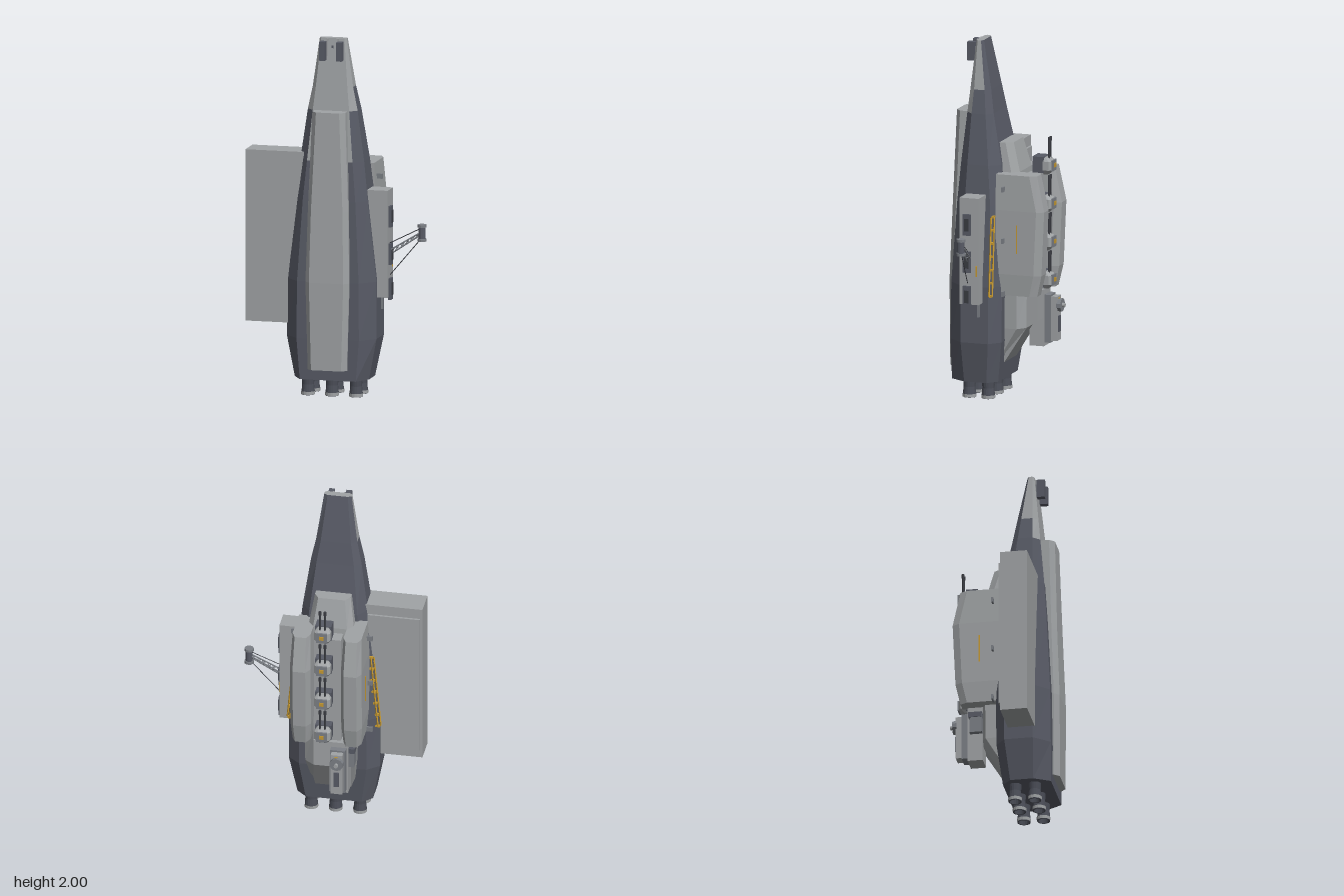
import * as THREE from 'three';

const mat = (name, color, extra = {}) => {
  const m = new THREE.MeshStandardMaterial({ color, flatShading: true, ...extra });
  m.name = name;
  return m;
};
const CX = -0.015; // centre line of the hull

export function createModel() {
  const root = new THREE.Group();
  root.name = 'spaceship';
  const dark = mat('hullSlate', 0x585b66);
  const light = mat('panelGrey', 0xa0a3a5);
  const mid = mat('fittingGrey', 0x7c8086);
  const black = mat('barrelCharcoal', 0x3b3d43);
  const yellow = mat('markingYellow', 0xc79a32);
  const hollow = mat('nozzleSlate', 0x4c4f59, { side: THREE.DoubleSide });

  const add = (name, geo, material, parent = root) => {
    const m = new THREE.Mesh(geo, material);
    m.name = name;
    parent.add(m);
    return m;
  };
  const box = (name, material, x0, x1, y0, y1, z0, z1, parent = root) => {
    const m = add(name, new THREE.BoxGeometry(x1 - x0, y1 - y0, z1 - z0), material, parent);
    m.position.set((x0 + x1) / 2, (y0 + y1) / 2, (z0 + z1) / 2);
    return m;
  };
  const beam = (name, material, a, b, r, sides = 6, parent = root) => {
    const p = new THREE.Vector3(...a), q = new THREE.Vector3(...b);
    const m = add(name, new THREE.CylinderGeometry(r, r, p.distanceTo(q), sides), material, parent);
    m.position.copy(p).add(q).multiplyScalar(0.5);
    m.quaternion.setFromUnitVectors(new THREE.Vector3(0, 1, 0), q.sub(p).normalize());
    return m;
  };
  // Skin rings of [x, z] points stacked along y; pick(face, y) gives a material index
  const loft = (levels, pick = () => 0) => {
    const buckets = [[], []];
    const pt = (k, i) => {
      const ring = levels[k].ring, c = ring[i % ring.length];
      return [c[0], levels[k].y, c[1]];
    };
    const n = levels[0].ring.length, last = levels.length - 1;
    for (let k = 0; k < last; k++) {
      for (let i = 0; i < n; i++) {
        const a = pt(k, i), b = pt(k, i + 1), c = pt(k + 1, i + 1), d = pt(k + 1, i);
        buckets[pick(i, (levels[k].y + levels[k + 1].y) / 2)].push(...a, ...b, ...c, ...a, ...c, ...d);
      }
    }
    for (let i = 1; i < n - 1; i++) {
      buckets[0].push(...pt(0, 0), ...pt(0, i + 1), ...pt(0, i));
      buckets[pick(0, levels[last].y)].push(...pt(last, 0), ...pt(last, i), ...pt(last, i + 1));
    }
    const geo = new THREE.BufferGeometry();
    geo.setAttribute('position', new THREE.Float32BufferAttribute(buckets.flat(), 3));
    geo.addGroup(0, buckets[0].length / 3, 0);
    geo.addGroup(buckets[0].length / 3, buckets[1].length / 3, 1);
    geo.computeVertexNormals();
    return geo;
  };

  // Eight-sided hull: y, side half-width, front half-width, z of front, front corner, back corner, back
  const hullRows = [
    [0.1, 0.212, 0.16, 0.27, 0.18, 0.05, 0.0],
    [0.33, 0.256, 0.178, 0.272, 0.185, 0.025, -0.03],
    [0.65, 0.256, 0.176, 0.268, 0.185, 0.022, -0.035],
    [1.1, 0.205, 0.15, 0.243, 0.18, 0.03, -0.03],
    [1.32, 0.182, 0.13, 0.227, 0.172, 0.05, -0.012],
    [1.6, 0.142, 0.104, 0.2, 0.162, 0.08, 0.045],
    [1.73, 0.115, 0.09, 0.187, 0.157, 0.095, 0.067],
    [2.0, 0.077, 0.066, 0.16, 0.15, 0.13, 0.12],
  ].map(([y, w, f, zf, s1, s2, zb]) => ({
    y,
    ring: [[-f, zf], [f, zf], [w, s1], [w, s2], [w * 0.74, zb], [-w * 0.74, zb], [-w, s2], [-w, s1]],
  }));
  // Pale nose cladding steps down the front, chamfer and side faces
  const claddingStart = [1.32, 1.6, 1.73, 9, 9, 9, 1.73, 1.6];
  add('hull', loft(hullRows, (i, y) => (y > claddingStart[i] ? 1 : 0)), [dark, light]).position.x = CX;

  // Raised front panel with bevelled edges
  const panelRows = [
    [0.16, 0.112, 0.086, 0.307, 0.26], [0.65, 0.125, 0.098, 0.307, 0.26],
    [1.05, 0.115, 0.09, 0.292, 0.235], [1.6, 0.094, 0.066, 0.275, 0.19],
  ].map(([y, o, f, z, b]) => ({
    y, ring: [[-f, z], [f, z], [o, z - 0.028], [o, b], [-o, b], [-o, z - 0.028]],
  }));
  add('frontPanel', loft(panelRows), light).position.x = CX;

  // Nose fittings
  for (const s of [-1, 1]) {
    const x = CX + s * 0.048;
    box('noseSensor', dark, x - 0.016, x + 0.016, 1.88, 1.985, 0.172, 0.216);
    box('noseSensorMount', mid, x - 0.008, x + 0.008, 1.91, 1.96, 0.15, 0.175);
    box('noseRib', light, CX + s * 0.03 - 0.004, CX + s * 0.03 + 0.004, 1.83, 1.998, 0.14, 0.17);
  }
  box('noseLight', dark, CX - 0.005, CX + 0.005, 1.945, 1.96, 0.15, 0.17);

  // Six hollow engine nozzles
  const nozzle = [[0.022, 0.08], [0.03, 0.0], [0.036, 0.0], [0.037, 0.02], [0.033, 0.06], [0.037, 0.11]];
  for (const x of [-0.137, 0, 0.137]) for (const z of [0.175, 0.065]) {
    const engine = new THREE.Group();
    engine.name = 'engine';
    engine.position.set(CX + x, 0, z);
    root.add(engine);
    add('nozzle', new THREE.LatheGeometry(nozzle.map(p => new THREE.Vector2(...p)), 16), hollow, engine);
    const rim = add('nozzleRim', new THREE.CylinderGeometry(0.039, 0.039, 0.018, 16, 1, true), light, engine);
    rim.position.y = 0.011;
    const throat = add('nozzleThroat', new THREE.CircleGeometry(0.024, 16), black, engine);
    throat.rotation.x = Math.PI / 2;
    throat.position.y = 0.075;
  }

  // Large slab on one side with a raised back plate
  box('sideSlab', light, -0.505, -0.17, 0.4, 1.36, 0.045, 0.195);
  box('sideSlabPlate', light, -0.492, -0.2, 0.45, 1.3, 0.032, 0.046);

  // Docking module with hatches on the other side
  box('dockModule', light, 0.17, 0.3, 0.56, 1.16, 0.057, 0.17);
  for (const y of [0.605, 0.8, 1.01]) {
    box('dockHatch', dark, 0.295, 0.313, y - 0.06, y + 0.06, 0.102, 0.147);
    box('dockHatchInset', black, 0.31, 0.317, y - 0.035, y + 0.035, 0.112, 0.137);
  }
  box('dockMarking', yellow, 0.298, 0.304, 0.72, 0.78, 0.066, 0.074);
  box('dockBracket', mid, 0.2, 0.25, 0.48, 0.57, 0.072, 0.085);

  // Lattice boom carrying a drum
  const boom = new THREE.Group();
  boom.name = 'boom';
  root.add(boom);
  const base = [[0.3, 0.82, 0.14], [0.3, 0.82, 0.105], [0.3, 0.795, 0.122]];
  const tip = [[0.465, 0.92, 0.107], [0.465, 0.92, 0.088], [0.465, 0.905, 0.097]];
  const lerp = (a, b, t) => a.map((v, i) => v + (b[i] - v) * t);
  base.forEach((a, i) => {
    beam('boomRail', mid, a, tip[i], 0.004, 5, boom);
    const j = (i + 1) % 3;
    for (let k = 0; k < 6; k++) {
      const [p, q] = k % 2 ? [i, j] : [j, i];
      beam('boomBrace', mid, lerp(base[p], tip[p], k / 6), lerp(base[q], tip[q], (k + 1) / 6), 0.0025, 4, boom);
    }
  });
  beam('boomStay', black, [0.3, 0.68, 0.122], [0.47, 0.885, 0.097], 0.0025, 4, boom);
  beam('boomStay', black, [0.3, 0.86, 0.122], [0.47, 0.945, 0.097], 0.0025, 4, boom);
  beam('boomDrum', dark, [0.477, 0.885, 0.096], [0.477, 0.96, 0.096], 0.02, 12, boom);
  for (const y of [0.873, 0.952]) beam('boomDrumCap', mid, [0.477, y, 0.096], [0.477, y + 0.015, 0.096], 0.026, 12, boom);

  // Central back housing with a wedge-shaped foot
  const housingRows = [
    [0.2, 0.12, 0.1, -0.015], [0.4, 0.14, 0.085, -0.14], [0.62, 0.145, 0.085, -0.142],
    [1.28, 0.125, 0.095, -0.105], [1.44, 0.1, 0.075, -0.062],
  ].map(([y, w, b, z]) => ({
    y, ring: [[-w, 0.03], [w, 0.03], [w, Math.min(0.02, z + 0.04)], [b, z], [-b, z], [-w, Math.min(0.02, z + 0.04)]],
  }));
  add('backHousing', loft(housingRows), light).position.x = CX;
  box('turretDeck', light, CX - 0.075, CX + 0.075, 0.56, 1.25, -0.18, -0.08);

  // Mirrored back pods, cleats and yellow rails
  const podRows = [[0.6, 0.05, 0.03, -0.235], [0.72, 0.058, 0.036, -0.262], [1.08, 0.058, 0.036, -0.278], [1.28, 0.05, 0.032, -0.235]]
    .map(([y, w, b, z]) => ({
      y, ring: [[-w, 0.0], [w, 0.0], [w, z + 0.04], [b, z], [-b, z], [-w, z + 0.04]],
    }));
  for (const s of [-1, 1]) {
    add('backPod', loft(podRows), light).position.x = CX + s * 0.143;
    const at = (name, m, x0, x1, y0, y1, z0, z1) =>
      box(name, m, CX + Math.min(s * x0, s * x1), CX + Math.max(s * x0, s * x1), y0, y1, z0, z1);
    at('podStripe', yellow, 0.198, 0.204, 0.84, 1.0, -0.128, -0.121);
    for (const y of [0.61, 0.91, 1.2]) at('podCleat', mid, 0.18, 0.228, y - 0.014, y + 0.014, -0.053, -0.043);
    for (const d of [0, 0.014]) {
      beam('sideRail', yellow, [CX + s * (0.262 - d), 0.6, 0.016 - d], [CX + s * (0.222 - d), 1.04, 0.018 - d], 0.005, 4);
    }
    for (let k = 0; k <= 6; k++) {
      const x = 0.255 - 0.04 * k / 6, y = 0.6 + 0.44 * k / 6;
      at('railPost', yellow, x - 0.035, x + 0.004, y - 0.006, y + 0.006, 0.003, 0.016);
    }
  }

  // Four twin-barrel turrets along the spine
  for (const y of [0.67, 0.885, 1.1, 1.315]) {
    const t = new THREE.Group();
    t.name = 'turret';
    t.position.set(0, y, 0);
    root.add(t);
    box('turretBase', dark, -0.045, 0.045, -0.04, 0.05, -0.23, -0.165, t);
    const body = [[-0.05, 0.03, -0.25], [-0.025, 0.045, -0.272], [0.025, 0.045, -0.272], [0.045, 0.03, -0.25]]
      .map(([h, w, z]) => ({ y: h, ring: [[-w, -0.225], [w, -0.225], [w, z + 0.012], [w * 0.65, z], [-w * 0.65, z], [-w, z + 0.012]] }));
    add('turretBody', loft(body), light, t);
    box('turretHatch', mid, -0.03, 0.03, -0.03, 0.03, -0.28, -0.27, t);
    box('turretMarking', yellow, -0.012, 0.012, -0.01, 0.012, -0.285, -0.279, t);
    for (const x of [-0.014, 0.014]) {
      beam('barrel', black, [x, 0.03, -0.252], [x, 0.155, -0.252], 0.0055, 8, t);
      beam('barrelTip', black, [x, 0.135, -0.252], [x, 0.158, -0.252], 0.0075, 8, t);
    }
  }

  // Equipment stack below the turrets
  box('equipmentBase', light, -0.135, -0.03, 0.28, 0.6, -0.205, -0.12);
  box('equipmentBox', mid, -0.125, -0.04, 0.3, 0.57, -0.24, -0.2);
  box('equipmentLid', light, -0.115, -0.05, 0.31, 0.56, -0.275, -0.235);
  box('equipmentMarking', yellow, -0.092, -0.072, 0.53, 0.55, -0.28, -0.274);
  box('equipmentSlot', dark, -0.097, -0.067, 0.36, 0.45, -0.282, -0.274);
  beam('sensorDish', mid, [-0.085, 0.51, -0.27], [-0.085, 0.51, -0.295], 0.038, 10);
  beam('sensorHub', light, [-0.085, 0.51, -0.295], [-0.085, 0.51, -0.31], 0.012, 8);
  box('storageBox', mid, -0.165, -0.125, 0.44, 0.55, -0.19, -0.12);
  box('storageLid', dark, -0.169, -0.121, 0.53, 0.56, -0.195, -0.12);
  box('equipmentSide', light, -0.03, 0.06, 0.44, 0.6, -0.2, -0.12);

  return root;
}
